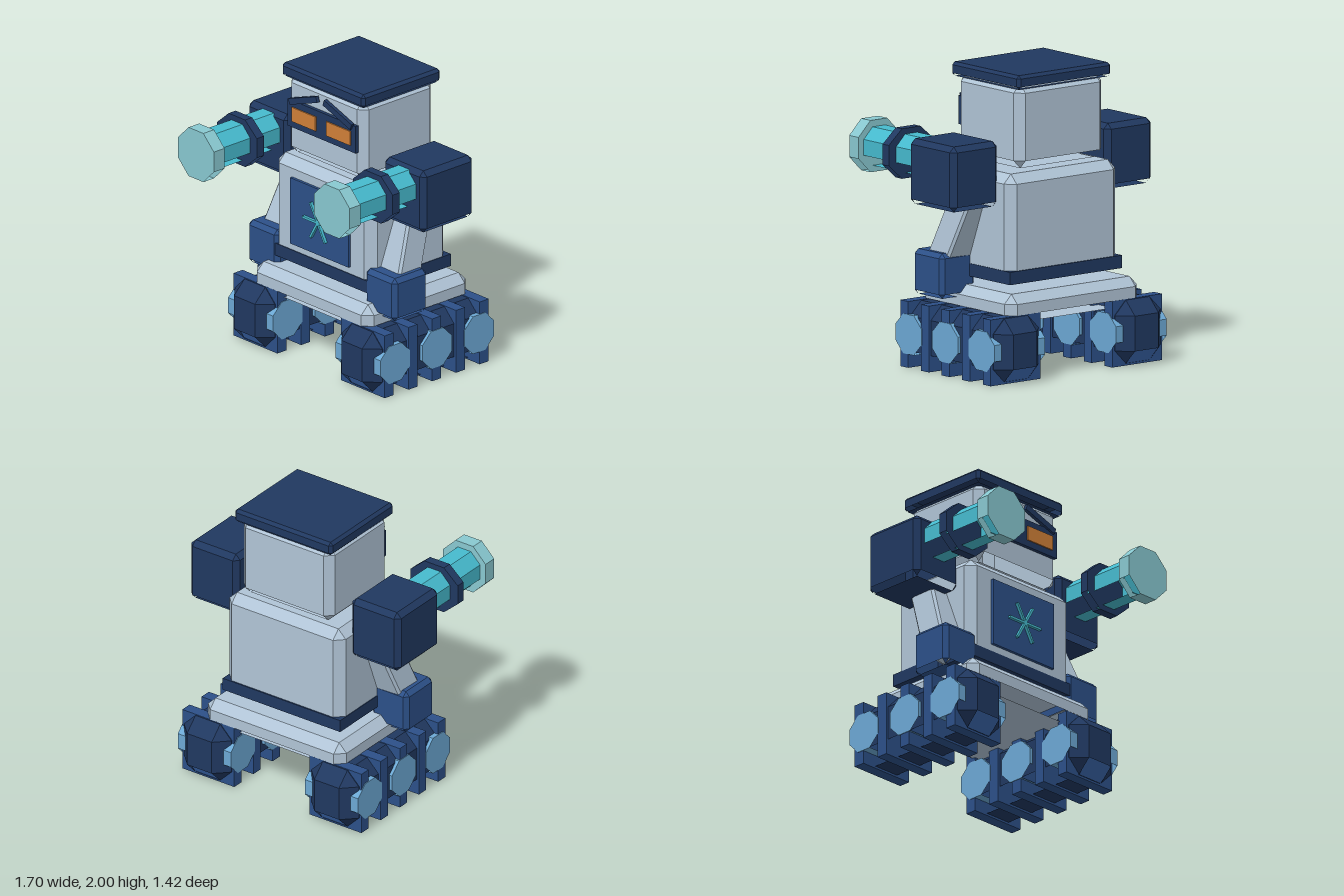
import * as THREE from 'three';
import { ConvexGeometry } from 'three/addons/geometries/ConvexGeometry.js';

const mat = (name, color) => {
  const m = new THREE.MeshStandardMaterial({ color, flatShading: true, side: THREE.DoubleSide });
  m.name = name;
  return m;
};

// Leaves out the lower sloped facets, so the shells are open along their lower edges
function openLowerBevels(source) {
  const geo = source.index ? source.toNonIndexed() : source;
  const p = geo.attributes.position;
  const tri = new THREE.Triangle();
  const n = new THREE.Vector3();
  const kept = [];
  for (let i = 0; i < p.count; i += 3) {
    tri.setFromAttributeAndIndices(p, i, i + 1, i + 2);
    tri.getNormal(n);
    if (n.y < -0.65 && n.y > -0.8) continue;
    for (const v of [tri.a, tri.b, tri.c]) kept.push(v.x, v.y, v.z);
  }
  const out = new THREE.BufferGeometry();
  out.setAttribute('position', new THREE.Float32BufferAttribute(kept, 3));
  out.computeVertexNormals();
  return out;
}

// Box with every edge cut at 45 degrees
function chamferBox(w, h, d, c) {
  const pts = [];
  for (const x of [-1, 1]) for (const y of [-1, 1]) for (const z of [-1, 1]) {
    const [a, b, e] = [w / 2, h / 2, d / 2];
    pts.push(new THREE.Vector3(x * a, y * (b - c), z * (e - c)));
    pts.push(new THREE.Vector3(x * (a - c), y * b, z * (e - c)));
    pts.push(new THREE.Vector3(x * (a - c), y * (b - c), z * e));
  }
  return openLowerBevels(new ConvexGeometry(pts));
}

// Eight-sided prism with flat sides up, along x or z; half is the distance to a flat
function octagon(half, length, axis) {
  const r = half / Math.cos(Math.PI / 8);
  const geo = new THREE.CylinderGeometry(r, r, length, 8, 1, false, Math.PI / 8);
  if (axis === 'x') geo.rotateZ(Math.PI / 2);
  else geo.rotateX(Math.PI / 2);
  return openLowerBevels(geo);
}

export function createModel() {
  const navy = mat('navy', 0x203860);
  const blue = mat('blue', 0x2c5088);
  const grey = mat('pale grey', 0xb0c4d6);
  const sky = mat('sky blue', 0x6ca8d4);
  const teal = mat('teal', 0x46bace);
  const mint = mat('pale teal', 0x88c8d0);
  const orange = mat('orange', 0xd08038);

  const model = new THREE.Group();
  model.name = 'robot';
  const add = (name, geo, material, x, y, z, parent = model) => {
    const mesh = new THREE.Mesh(geo, material);
    mesh.name = name;
    mesh.position.set(x, y, z);
    parent.add(mesh);
    return mesh;
  };
  const box = (w, h, d) => new THREE.BoxGeometry(w, h, d);

  // Chassis, belt and torso
  add('chassis', chamferBox(1.12, 0.195, 0.925, 0.06), grey, 0, 0.478, -0.152);
  add('belt', box(0.95, 0.085, 0.715), navy, 0, 0.668, -0.152);
  add('torso', chamferBox(0.94, 0.695, 0.7, 0.06), grey, 0, 0.998, -0.15);

  // Chest panel with a six-armed star
  add('chestPanel', box(0.56, 0.465, 0.02), blue, 0, 0.993, 0.21);
  for (let i = 0; i < 3; i++) {
    const bar = add('starBar', box(0.285, 0.016, 0.02), teal, 0, 0.995, 0.23);
    bar.rotation.z = i * Math.PI / 3;
  }

  // Head, cap and face
  add('head', chamferBox(0.74, 0.56, 0.65, 0.055), grey, 0, 1.65, -0.15);
  add('cap', chamferBox(0.79, 0.095, 0.695, 0.02), navy, 0, 1.9525, -0.152);
  add('facePlate', box(0.65, 0.19, 0.025), navy, 0, 1.67, 0.187);
  for (const s of [-1, 1]) {
    add('eye', box(0.23, 0.1, 0.009), orange, s * 0.166, 1.67, 0.204);
    const brow = add('brow', box(0.28, 0.042, 0.025), navy, s * 0.165, 1.803, 0.203);
    brow.rotation.z = -s * 0.34;
  }

  for (const s of [-1, 1]) {
    const side = s > 0 ? 'left' : 'right';

    // Track: core, five pads and three wheels
    const track = new THREE.Group();
    track.name = side + 'Track';
    track.position.set(s * 0.515, 0.22, -0.152);
    model.add(track);
    add('trackCore', chamferBox(0.385, 0.42, 1.12, 0.093), navy, 0, 0.005, 0, track);
    for (let i = -2; i <= 2; i++) add('trackPad', box(0.42, 0.44, 0.08), blue, 0, 0, i * 0.211, track);
    for (let i = -1; i <= 1; i++) add('wheel', octagon(0.132, 0.43, 'x'), sky, 0, 0.003, i * 0.373, track);

    // Arm: shoulder, slanted limb and fist
    const arm = new THREE.Group();
    arm.name = side + 'Arm';
    model.add(arm);
    add('shoulder', chamferBox(0.395, 0.435, 0.465, 0.035), navy, s * 0.652, 1.343, -0.148, arm);
    const top = new THREE.Vector3(s * 0.497, 1.15, -0.135);
    const low = new THREE.Vector3(s * 0.572, 0.66, 0.055);
    const dir = top.clone().sub(low);
    const mid = top.clone().add(low).multiplyScalar(0.5);
    const limb = add('limb', chamferBox(0.2, dir.length(), 0.2, 0.016), grey, mid.x, mid.y, mid.z, arm);
    limb.quaternion.setFromUnitVectors(new THREE.Vector3(0, 1, 0), dir.normalize());
    add('fist', chamferBox(0.295, 0.3, 0.305, 0.03), blue, s * 0.563, 0.645, 0.057, arm);

    // Cannon: barrel, collar and muzzle
    const cannon = new THREE.Group();
    cannon.name = side + 'Cannon';
    cannon.position.set(s * 0.652, 1.413, 0);
    model.add(cannon);
    add('barrel', octagon(0.128, 0.56, 'z'), teal, 0, 0, 0.345, cannon);
    add('collar', octagon(0.166, 0.063, 'z'), navy, 0, 0, 0.317, cannon).scale.x = 1.15;
    add('muzzle', octagon(0.172, 0.095, 'z'), mint, 0, 0, 0.665, cannon);
  }
  return model;
}
